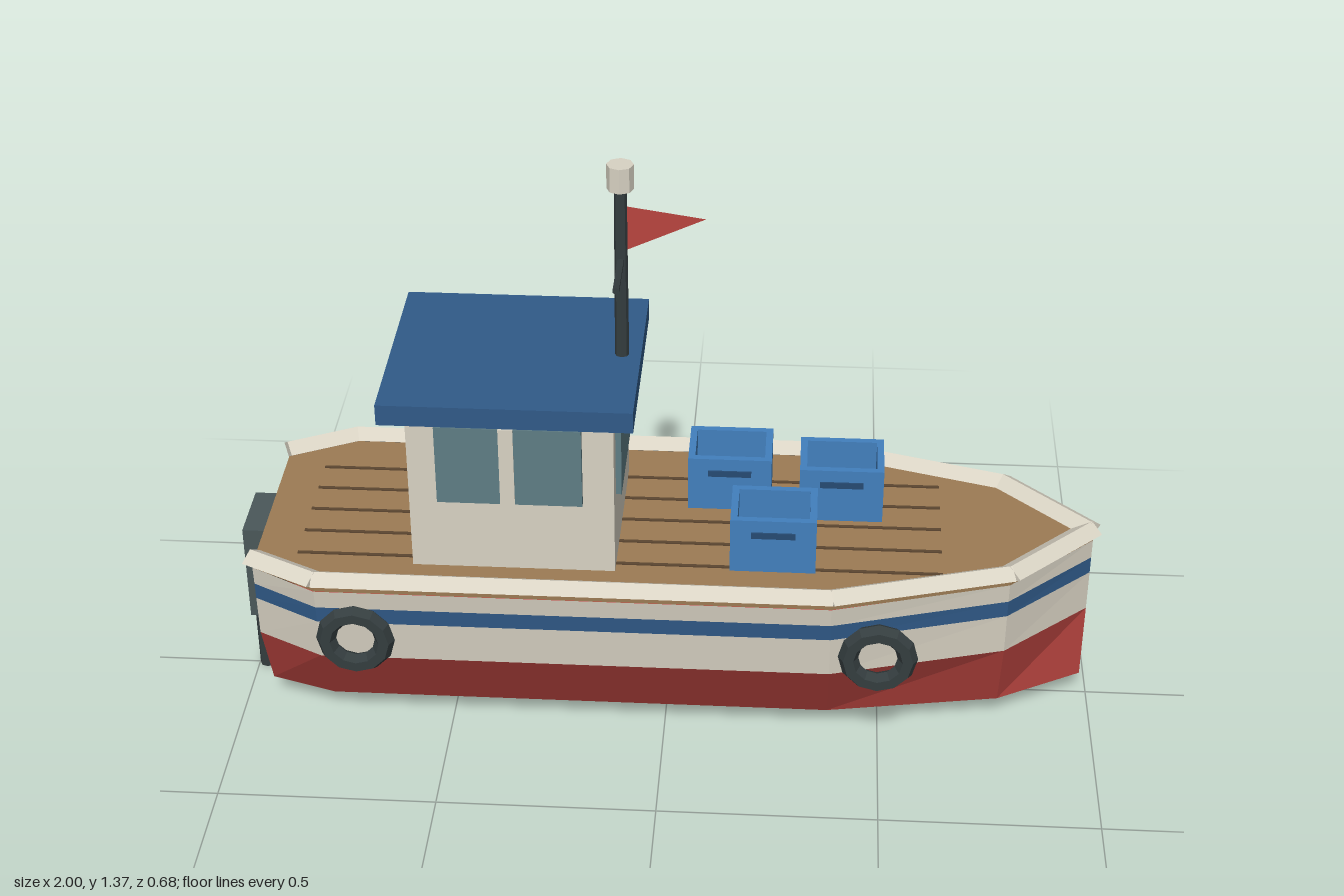
import * as THREE from 'three';

const mat = (name, color, side = THREE.FrontSide) =>
  Object.assign(new THREE.MeshStandardMaterial({ color, side, flatShading: true }), { name });

export function createModel() {
  const boat = new THREE.Group();
  boat.name = 'fishingBoat';

  const cream = mat('cream', 0xd8d2c3);
  const red = mat('red', 0xb8443f, THREE.DoubleSide);
  const navy = mat('navy blue', 0x305a88);
  const crateBlue = mat('crate blue', 0x427fbd);
  const crateSlot = mat('slot blue', 0x264a72);
  const wood = mat('deck wood', 0x9c7b54);
  const seam = mat('deck seam', 0x5c4630);
  const glass = mat('glass', 0x5f7d84);
  const dark = mat('dark metal', 0x343d3f);
  const grey = mat('motor grey', 0x4a5759);

  const add = (name, geometry, material, x = 0, y = 0, z = 0, parent = boat) => {
    const mesh = new THREE.Mesh(geometry, material);
    mesh.name = name;
    mesh.position.set(x, y, z);
    parent.add(mesh);
    return mesh;
  };
  // Box given by its minimum and maximum corners
  const box = (name, material, [x0, y0, z0], [x1, y1, z1], parent = boat) =>
    add(name, new THREE.BoxGeometry(x1 - x0, y1 - y0, z1 - z0), material,
      (x0 + x1) / 2, (y0 + y1) / 2, (z0 + z1) / 2, parent);

  // Hull: half-widths at sheer level along the length, scaled per height
  const stations = [[-0.935, 0.235], [-0.78, 0.32], [0.38, 0.32], [0.78, 0.2], [0.98, 0.008]];
  const outline = [...stations, ...[...stations].reverse().map(([x, w]) => [x, -w])];
  const ring = ([y, k]) => outline.map(([x, z]) => [x, y, z * k]);
  const fromTriangles = (points) => {
    const g = new THREE.BufferGeometry();
    g.setAttribute('position', new THREE.Float32BufferAttribute(points.flat(), 3));
    g.computeVertexNormals();
    return g;
  };
  const band = (lower, upper) => {
    const a = ring(lower), b = ring(upper), points = [];
    a.forEach((p, i) => {
      const j = (i + 1) % a.length;
      points.push(p, a[j], b[j], p, b[j], b[i]);
    });
    return fromTriangles(points);
  };
  const levels = [[0.06, 0.58], [0.253, 0.94], [0.355, 0.968], [0.397, 0.98], [0.445, 1]];
  add('lowerHull', band(levels[0], levels[1]), red);
  add('hullSide', band(levels[1], levels[2]), cream);
  add('hullStripe', band(levels[2], levels[3]), navy);
  add('upperHull', band(levels[3], levels[4]), cream);

  const keel = ring(levels[0]), bottom = [];
  for (let i = 1; i < keel.length - 1; i++) bottom.push(keel[0], keel[i + 1], keel[i]);
  add('hullBottom', fromTriangles(bottom), red);

  // Deck with plank seams
  const deckShape = new THREE.Shape(outline.map(([x, z]) => new THREE.Vector2(x, z * 0.97)));
  add('deck', new THREE.ExtrudeGeometry(deckShape, { depth: 0.014, bevelEnabled: false })
    .rotateX(-Math.PI / 2), wood, 0, 0.439, 0);
  for (let i = -2; i <= 2; i++) {
    box('deckSeam', seam, [-0.84, 0.452, i * 0.09 - 0.004], [0.63, 0.456, i * 0.09 + 0.004]);
  }

  // Gunwale rail: diamond-section bars along both sides
  const railPath = [[-0.935, 0.23], [-0.78, 0.308], [0.38, 0.308], [0.78, 0.19], [0.973, 0]];
  for (const side of [1, -1]) {
    for (let i = 0; i < railPath.length - 1; i++) {
      const [x0, z0] = railPath[i], [x1, z1] = railPath[i + 1];
      const dx = x1 - x0, dz = (z1 - z0) * side;
      const bar = new THREE.CylinderGeometry(1, 1, Math.hypot(dx, dz) + 0.006, 4)
        .rotateZ(Math.PI / 2).scale(1, 0.021, 0.032);
      add('gunwaleRail', bar, cream, (x0 + x1) / 2, 0.47, side * (z0 + z1) / 2)
        .rotation.y = -Math.atan2(dz, dx);
    }
  }

  // Wheelhouse
  box('cabin', cream, [-0.57, 0.45, -0.21], [-0.11, 0.85, 0.21]);
  box('cabinRoof', navy, [-0.625, 0.85, -0.255], [-0.063, 0.9, 0.255]);
  box('frontWindow', glass, [-0.112, 0.63, -0.162], [-0.097, 0.823, 0.162]);
  for (const side of [1, -1]) {
    const plate = (name, material, x0, x1, depth) =>
      add(name, new THREE.BoxGeometry(x1 - x0, 0.195, depth), material,
        (x0 + x1) / 2, 0.732, side * (0.208 + depth / 2));
    plate('sideWindow', glass, -0.505, -0.363, 0.017);
    plate('sideWindow', glass, -0.33, -0.18, 0.017);
    plate('windowPost', cream, -0.363, -0.33, 0.019);
  }

  // Mast, lamp, crossbar and pennant
  const mastX = -0.106;
  add('mast', new THREE.CylinderGeometry(0.014, 0.016, 0.42, 8), dark, mastX, 1.1, 0);
  add('mastLamp', new THREE.CylinderGeometry(0.03, 0.03, 0.058, 8), cream, mastX, 1.341, 0);
  add('mastCrossbar', new THREE.CylinderGeometry(0.008, 0.008, 0.294, 6).rotateX(Math.PI / 2),
    dark, mastX, 1.14, 0);
  add('pennant', fromTriangles([[-0.1, 1.16, 0], [0.08, 1.243, 0], [-0.1, 1.27, 0]]), red);

  // Open fish crates with handle slots
  const crate = (x, z) => {
    const g = new THREE.Group();
    g.name = 'crate';
    g.position.set(x, 0.452, z);
    boat.add(g);
    const w = 0.097, d = 0.072, h = 0.138, t = 0.016;
    box('crateFloor', crateBlue, [-w + t, 0, -d + t], [w - t, 0.02, d - t], g);
    for (const s of [1, -1]) {
      add('crateSide', new THREE.BoxGeometry(2 * w, h, t), crateBlue, 0, h / 2, s * (d - t / 2), g);
      add('crateEnd', new THREE.BoxGeometry(t, h, 2 * (d - t)), crateBlue, s * (w - t / 2), h / 2, 0, g);
      add('crateSlot', new THREE.BoxGeometry(0.1, 0.015, 0.006), crateSlot, 0, 0.1, s * (d + 0.001), g);
    }
  };
  crate(0.137, -0.13);
  crate(0.397, -0.097);
  crate(0.245, 0.12);

  // Tyre fenders
  for (const x of [-0.693, 0.488]) {
    for (const side of [1, -1]) {
      add('tyreFender', new THREE.TorusGeometry(0.067, 0.023, 6, 12), dark, x, 0.318, side * 0.319);
    }
  }

  // Stern motor housing and shaft
  box('motorHousing', grey, [-0.99, 0.197, -0.08], [-0.93, 0.44, 0.08]);
  add('motorShaft', new THREE.CylinderGeometry(0.02, 0.02, 0.315, 8), dark, -0.979, 0.1575, 0);

  return boat;
}
